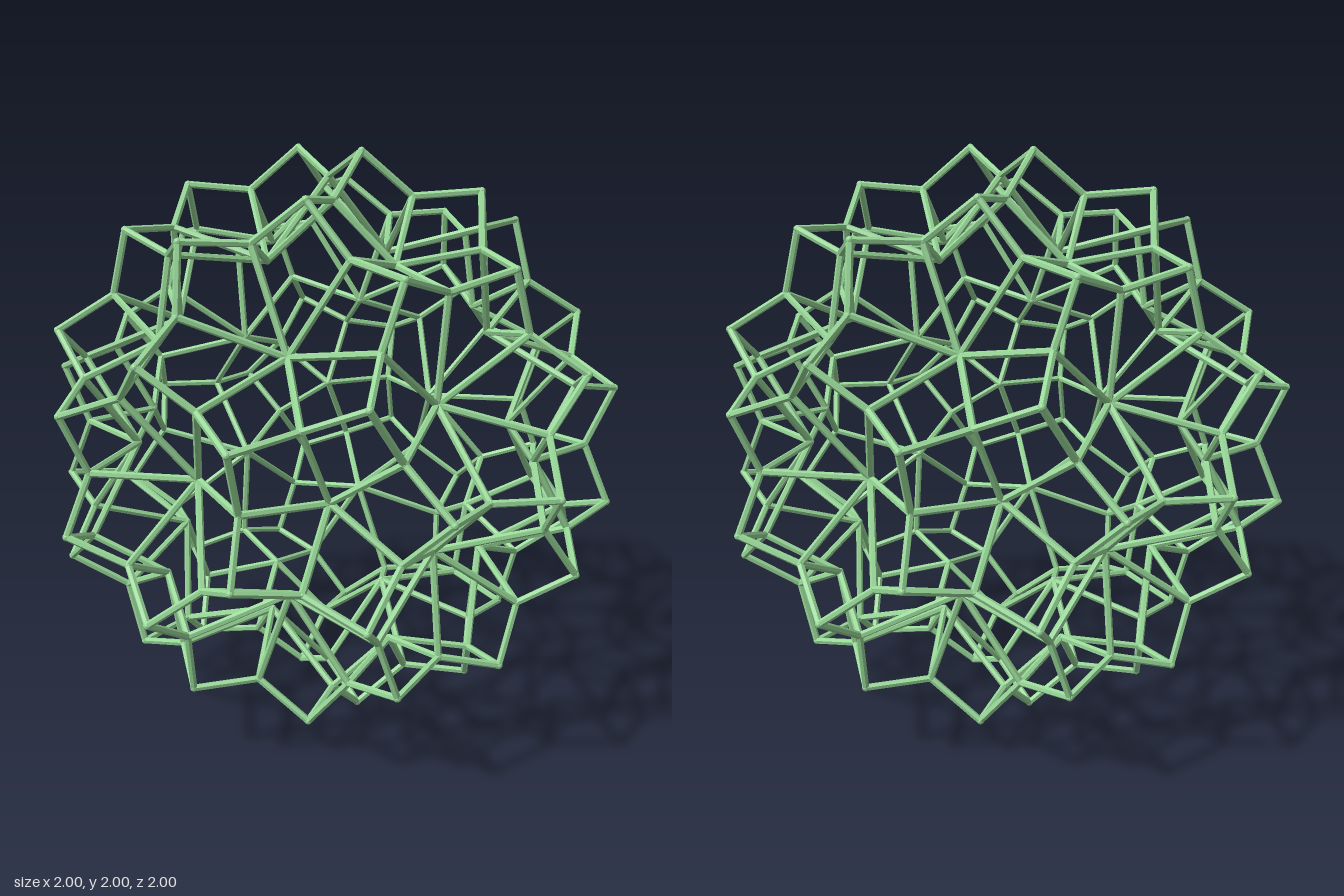
import * as THREE from 'three';
import { mergeGeometries } from 'three/addons/utils/BufferGeometryUtils.js';

const BAR = 0.012;
const Y = new THREE.Vector3(0, 1, 0);

// Six-sided strut between two points
function strut(a, b) {
  const dir = b.clone().sub(a);
  const g = new THREE.CylinderGeometry(BAR, BAR, dir.length(), 6, 1);
  g.applyQuaternion(new THREE.Quaternion().setFromUnitVectors(Y, dir.clone().normalize()));
  const mid = a.clone().add(b).multiplyScalar(0.5);
  return g.translate(mid.x, mid.y, mid.z);
}

function joint(p) {
  return new THREE.IcosahedronGeometry(BAR * 1.1, 1).translate(p.x, p.y, p.z);
}

export function createModel() {
  const group = new THREE.Group();
  const material = new THREE.MeshStandardMaterial({ color: 0x98d898, flatShading: true });

  // Twelve five-fold axis directions (icosahedron corners)
  const phi = (1 + Math.sqrt(5)) / 2;
  const axes = [];
  for (const s of [-1, 1]) for (const t of [-1, 1]) {
    axes.push(new THREE.Vector3(s, 0, t * phi), new THREE.Vector3(t * phi, s, 0), new THREE.Vector3(0, t * phi, s));
  }
  axes.forEach((v) => v.normalize());
  const near = (i, j) => axes[i].distanceTo(axes[j]) < 1.1;
  const sum = (...ids) => ids.reduce((v, i) => v.add(axes[i]), new THREE.Vector3()).normalize();

  // Node positions
  const fiveHub = (i) => axes[i].clone().multiplyScalar(0.757);
  const threeHub = (f) => sum(...f).multiplyScalar(0.675);
  const notch = (i, j) => sum(i, j).multiplyScalar(0.9);
  const tip = (i, j) => sum(i, j).multiplyScalar(0.988)
    .addScaledVector(axes[i].clone().sub(axes[j]).normalize(), 0.2);
  const ridge = (i, f) => axes[i].clone().multiplyScalar(0.52).addScaledVector(sum(...f), 0.43);

  const struts = [], joints = [];
  const link = (a, b) => struts.push(strut(a, b));

  for (let i = 0; i < 12; i++) {
    joints.push(joint(fiveHub(i)));
    for (let j = i + 1; j < 12; j++) {
      if (!near(i, j)) continue;
      // Pair of outer tips beside each two-fold notch
      const n = notch(i, j);
      joints.push(joint(n));
      for (const p of [tip(i, j), tip(j, i)]) {
        link(n, p);
        joints.push(joint(p));
      }
      // Lattice belonging to each three-fold hub
      for (let k = j + 1; k < 12; k++) {
        if (!near(i, k) || !near(j, k)) continue;
        const f = [i, j, k];
        const hub = threeHub(f);
        joints.push(joint(hub));
        f.forEach((a, m) => {
          const b = f[(m + 1) % 3], c = f[(m + 2) % 3];
          const r = ridge(a, f);
          joints.push(joint(r));
          link(r, fiveHub(a));
          link(r, hub);
          link(r, tip(a, b));
          link(r, tip(a, c));
          link(hub, notch(a, b));
        });
      }
    }
  }

  const strutMesh = new THREE.Mesh(mergeGeometries(struts), material);
  strutMesh.name = 'struts';
  const jointMesh = new THREE.Mesh(mergeGeometries(joints), material);
  jointMesh.name = 'joints';
  group.add(strutMesh, jointMesh);
  group.children.forEach((m) => { m.position.y = 1; });
  group.name = 'latticeBall';
  return group;
}
